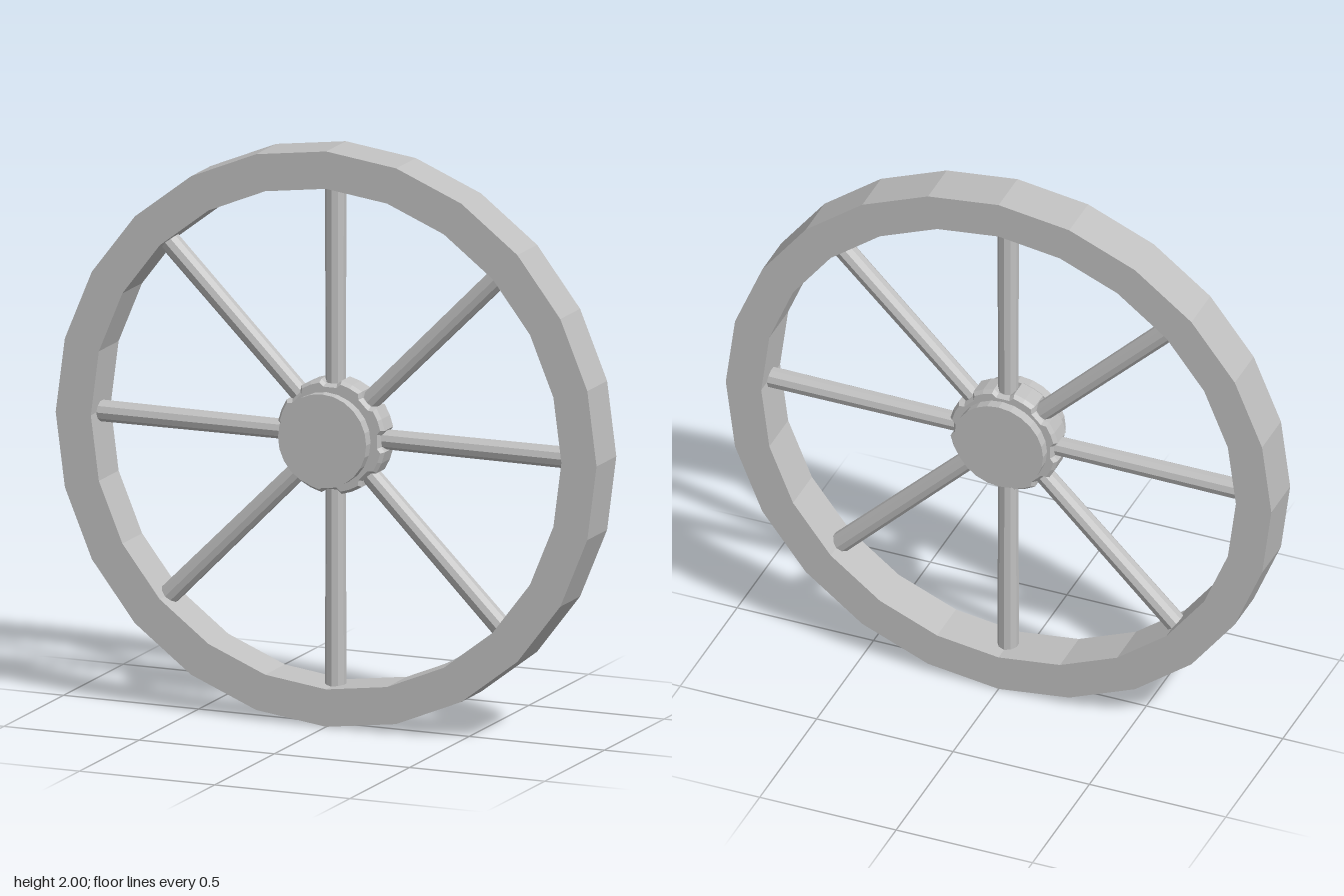
import * as THREE from 'three';

const MID_Z = -0.015; // middle plane of rim and spokes
const polar = (r, a) => new THREE.Vector2(r * Math.sin(a), r * Math.cos(a));
const polygon = (r, n) => Array.from({ length: n }, (_, i) => polar(r, -i * Math.PI * 2 / n));

export function createModel() {
  const grey = new THREE.MeshStandardMaterial({ color: 0xc0c0c0, flatShading: true });
  grey.name = 'light grey';

  const wheel = new THREE.Group();
  wheel.name = 'spokedWheel';
  const add = (name, geometry, z = 0) => {
    const mesh = new THREE.Mesh(geometry, grey);
    mesh.name = name;
    mesh.position.z = z;
    wheel.add(mesh);
    return mesh;
  };

  // Rim: flat faceted ring
  const ring = new THREE.Shape(polygon(1, 24));
  ring.holes.push(new THREE.Path(polygon(0.87, 24)));
  add('rim', new THREE.ExtrudeGeometry(ring, { depth: 0.166, bevelEnabled: false }), -0.1);

  // Hub: two end discs joined by a narrower core
  const disc = (r, depth) => new THREE.CylinderGeometry(r, r, depth, 24).rotateX(Math.PI / 2);
  add('hubFrontCap', disc(0.163, 0.036), 0.082);
  add('hubBackCap', disc(0.163, 0.036), -0.082);
  add('hubCore', disc(0.15, 0.17));

  // Flange: eight lobes with a notch at each spoke
  const lobes = [];
  for (let i = 0; i < 8; i++) {
    for (const [deg, r] of [[-12, 0.19], [-8, 0.175], [8, 0.175], [12, 0.19], [22.5, 0.19]]) {
      lobes.push(polar(r, -THREE.MathUtils.degToRad(i * 45 + deg)));
    }
  }
  add('hubFlange', new THREE.ExtrudeGeometry(new THREE.Shape(lobes), {
    depth: 0.07, bevelThickness: 0.014, bevelSize: 0.01, bevelSegments: 1,
  }), MID_Z - 0.035);

  // Spokes: slightly thicker towards the rim
  const inner = 0.13, outer = 0.88;
  const spoke = new THREE.CylinderGeometry(0.037, 0.034, outer - inner, 10);
  spoke.translate(0, (inner + outer) / 2, 0);
  for (let i = 0; i < 8; i++) {
    add('spoke' + (i + 1), spoke, MID_Z).rotation.z = i * Math.PI / 4;
  }

  wheel.position.y = 1;
  const model = new THREE.Group();
  model.name = 'wheel';
  model.add(wheel);
  return model;
}
